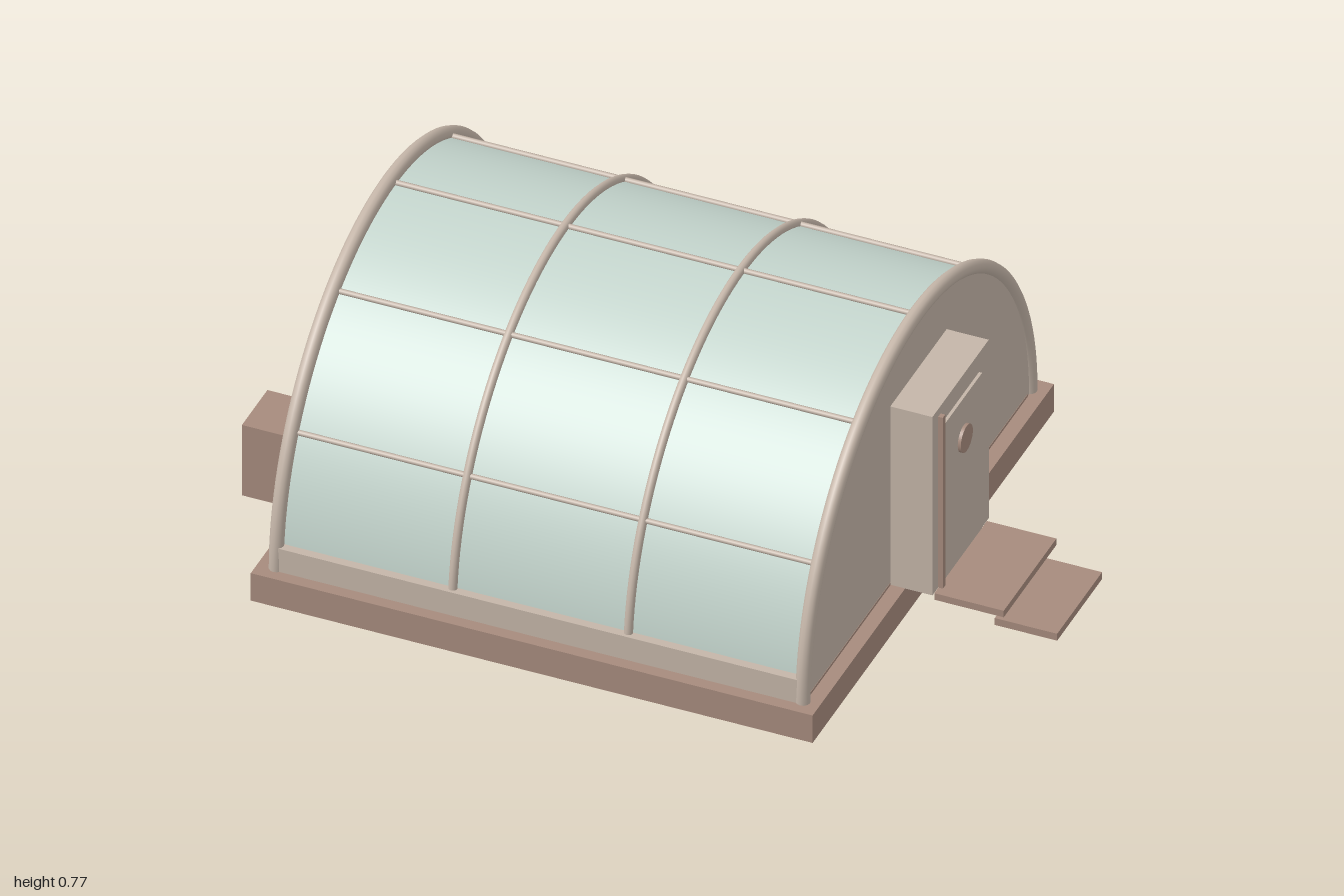
import * as THREE from 'three';

export function createModel() {
  const model = new THREE.Group();
  const mat = (name, color) => {
    const m = new THREE.MeshStandardMaterial({ color });
    m.name = name;
    return m;
  };
  const beige = mat('beigeFrame', 0xc4b5a8);
  const brown = mat('brownBase', 0xa68b7d);
  const glass = mat('paleGreenPanel', 0xc5d6ce);

  const add = (name, geometry, material, x = 0, y = 0, z = 0) => {
    const mesh = new THREE.Mesh(geometry, material);
    mesh.name = name;
    mesh.position.set(x, y, z);
    model.add(mesh);
    return mesh;
  };
  // Box given by its limits on each axis
  const box = (name, material, [x0, x1], [y0, y1], [z0, z1]) =>
    add(name, new THREE.BoxGeometry(x1 - x0, y1 - y0, z1 - z0), material,
      (x0 + x1) / 2, (y0 + y1) / 2, (z0 + z1) / 2);

  const floorY = 0.08;
  const xLeft = -0.768, xRight = 0.582, bay = 0.45;
  const length = xRight - xLeft, midX = (xLeft + xRight) / 2;

  // Foundation and floor
  box('foundation', brown, [-0.815, 0.625], [0, floorY], [-0.72, 0.72]);
  box('floor', brown, [xLeft - 0.006, xRight + 0.006], [floorY, 0.087], [-0.65, 0.65]);

  // Half-cylinder along x: vault skin and solid end walls
  const halfCylinder = (radius, len, open) => {
    const g = new THREE.CylinderGeometry(radius, radius, len, 64, 1, open, 0, Math.PI);
    return g.rotateZ(Math.PI / 2).rotateX(0);
  };
  add('vaultSkin', halfCylinder(0.67, length, true), glass, midX, floorY, 0);
  for (const x of [xLeft, xRight])
    add('endWall', halfCylinder(0.672, 0.01, false), beige, x, floorY, 0);

  // Arches: thick at the ends, slim between
  for (let i = 0; i < 4; i++) {
    const end = i === 0 || i === 3;
    const arch = new THREE.TorusGeometry(end ? 0.677 : 0.674, end ? 0.018 : 0.011, 12, 64, Math.PI);
    add(end ? 'endArch' : 'rib', arch.rotateY(Math.PI / 2), beige, xLeft + i * bay, floorY, 0);
  }

  // Lengthwise rails every 30 degrees
  for (let i = 1; i <= 5; i++) {
    const a = i * Math.PI / 6;
    const rail = new THREE.CylinderGeometry(0.007, 0.007, length, 8).rotateZ(Math.PI / 2);
    add('rail', rail, beige, midX, floorY + 0.674 * Math.sin(a), 0.674 * Math.cos(a));
  }

  // Low side walls
  for (const s of [-1, 1])
    add('sideSill', new THREE.BoxGeometry(length - 0.02, 0.067, 0.024), beige, midX, 0.1135, s * 0.677);

  // Entrance porch with door, hinge bar and round window
  box('porch', beige, [0.575, 0.695], [floorY, 0.6], [-0.168, 0.168]);
  box('door', beige, [0.69, 0.703], [0.093, 0.545], [-0.11, 0.11]);
  box('hingeBar', brown, [0.69, 0.707], [floorY, 0.578], [0.119, 0.134]);
  add('doorWindow', new THREE.CylinderGeometry(0.036, 0.036, 0.009, 32).rotateZ(Math.PI / 2),
    brown, 0.7065, 0.43, 0);

  // Steps
  box('upperStep', brown, [0.695, 0.873], [0.06, 0.079], [-0.157, 0.157]);
  box('lowerStep', brown, [0.84, 1], [0.013, 0.033], [-0.134, 0.134]);

  // Service unit and its pipe into the end wall
  box('serviceUnit', brown, [-1, -0.8], [0, 0.205], [0.19, 0.342]);
  const path = new THREE.LineCurve3(new THREE.Vector3(-0.82, 0.145, 0.266), new THREE.Vector3(-0.765, 0.172, 0.266));
  add('servicePipe', new THREE.TubeGeometry(path, 1, 0.02, 16), brown);

  return model;
}
